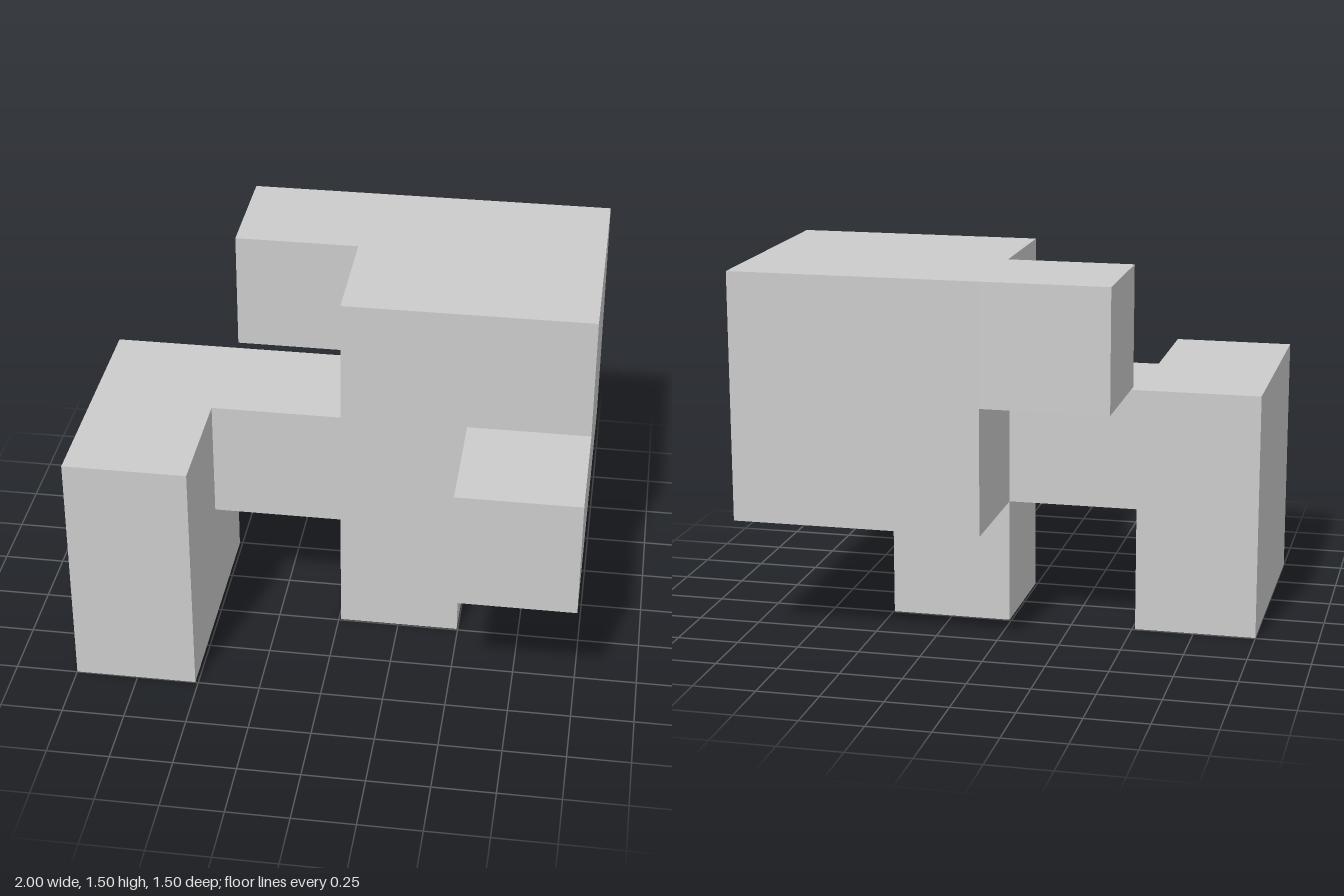
import * as THREE from 'three';

const CELL = 0.504;  // grid spacing of the cubes
const GAP = 0.008;   // inset of every outer face from the grid

// Grid line positions on each axis
const gx = i => (i - 2) * CELL;
const gy = i => i * CELL - GAP;
const gz = i => (i - 1.5) * CELL;

export function createModel() {
  const group = new THREE.Group();
  const material = new THREE.MeshStandardMaterial({ color: 0xcccccc, flatShading: true });

  // Box between two corners
  const addBox = (name, x, y, z) => {
    const mesh = new THREE.Mesh(new THREE.BoxGeometry(x[1] - x[0], y[1] - y[0], z[1] - z[0]), material);
    mesh.name = name;
    mesh.position.set((x[0] + x[1]) / 2, (y[0] + y[1]) / 2, (z[0] + z[1]) / 2);
    group.add(mesh);
  };

  // Outer span of cells a..b, inset at both ends
  const span = (g, a, b) => [g(a) + GAP, g(b) - GAP];

  const bodyX = span(gx, 2, 4), bodyY = span(gy, 1, 3), bodyZ = span(gz, 0, 2);
  const sideX = span(gx, 0, 1);

  // Large two-by-two-by-two body
  addBox('body', bodyX, bodyY, bodyZ);

  // Single cubes growing out of the body
  addBox('frontArm', span(gx, 3, 4), span(gy, 1, 2), [bodyZ[1], gz(3) - GAP]);
  addBox('leg', span(gx, 2, 3), [0, bodyY[0]], span(gz, 1, 2));
  addBox('upperArm', [gx(1) + GAP, bodyX[0]], span(gy, 2, 3), span(gz, 0, 1));

  // Bridge to the standing side block
  addBox('bridge', [sideX[1], bodyX[0]], span(gy, 1, 2), span(gz, 1, 2));
  addBox('sideBlock', sideX, span(gy, 0, 2), span(gz, 1, 3));

  return group;
}
